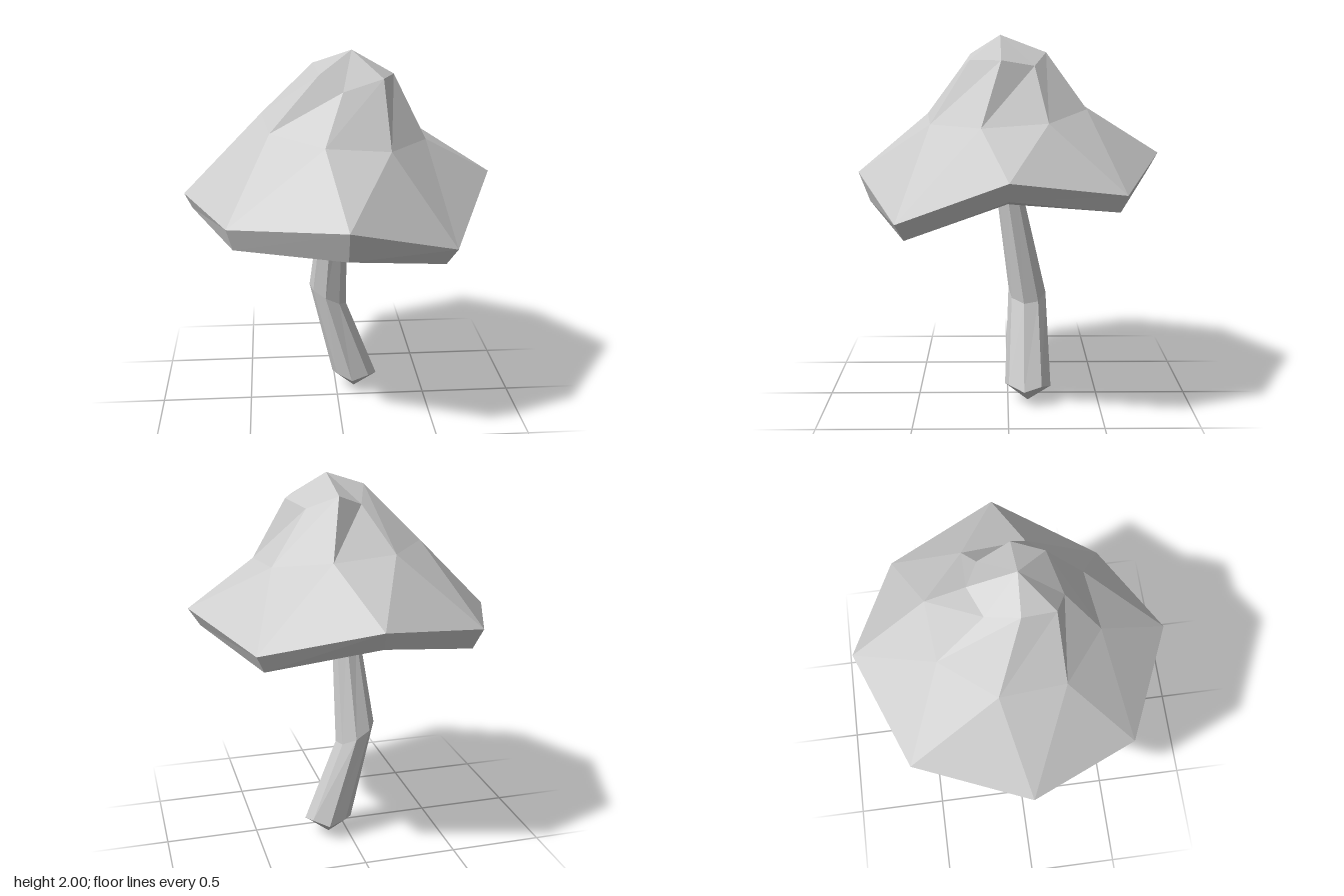
import * as THREE from 'three';

const SIDES = 8;
const material = new THREE.MeshStandardMaterial({ color: 0xcccccc, flatShading: true });

// Joins rings of points from bottom to top and closes both ends with a fan to a point.
function loft(name, bottom, rings, top) {
  const pos = [];
  const tri = (a, b, c) => pos.push(...a, ...b, ...c);
  const first = rings[0], last = rings[rings.length - 1];
  for (let i = 0; i < SIDES; i++) {
    const j = (i + 1) % SIDES;
    tri(first[j], first[i], bottom);
    for (let r = 0; r < rings.length - 1; r++) {
      const a = rings[r], b = rings[r + 1];
      tri(a[i], a[j], b[j]);
      tri(a[i], b[j], b[i]);
    }
    tri(last[i], last[j], top);
  }
  const geometry = new THREE.BufferGeometry();
  geometry.setAttribute('position', new THREE.Float32BufferAttribute(pos, 3));
  geometry.computeVertexNormals();
  const mesh = new THREE.Mesh(geometry, material);
  mesh.name = name;
  return mesh;
}

// Stem ring; tilt lowers the +x side, zigzag raises every second corner.
function stemRing(cx, cy, cz, radius, tilt = 0, zigzag = 0) {
  return Array.from({ length: SIDES }, (_, i) => {
    const t = THREE.MathUtils.degToRad(45 * i - 10);
    const dx = radius * Math.cos(t);
    return [cx + dx, cy - tilt * dx + (i % 2) * zigzag, cz - radius * Math.sin(t)];
  });
}

export function createModel() {
  const group = new THREE.Group();
  group.name = 'mushroom';

  // Cap cross-sections, each starting at +x and running round by the back
  const lowerRim = [
    [0.76, 1.24, 0], [0.53, 1.145, -0.55], [0, 1.28, -0.76], [-0.54, 1.17, -0.54],
    [-0.78, 1.16, 0], [-0.55, 1.105, 0.53], [0, 1.11, 0.75], [0.51, 1.0, 0.52],
  ];
  const upperRim = [
    [0.82, 1.335, 0], [0.57, 1.235, -0.58], [0.01, 1.375, -0.81], [-0.58, 1.28, -0.58],
    [-0.82, 1.245, 0.01], [-0.58, 1.22, 0.56], [0, 1.27, 0.81], [0.56, 1.09, 0.56],
  ];
  const slope = [
    [0.45, 1.55, 0.135], [0.415, 1.57, -0.2], [0.15, 1.62, -0.41], [-0.18, 1.64, -0.38],
    [-0.4, 1.65, -0.11], [-0.36, 1.61, 0.225], [-0.09, 1.58, 0.435], [0.24, 1.55, 0.4],
  ];
  const crown = [
    [0.29, 1.875, 0.035], [0.22, 1.845, -0.135], [0.065, 1.91, -0.2], [-0.07, 1.855, -0.135],
    [-0.13, 1.935, 0.03], [-0.105, 1.9, 0.2], [0.01, 1.82, 0.255], [0.22, 1.875, 0.195],
  ];
  group.add(loft('cap', [0, 1.09, 0], [lowerRim, upperRim, slope, crown], [0.07, 2, 0.04]));

  // Bent stem with a pointed foot
  group.add(loft('stem', [0.105, 0, -0.11], [
    stemRing(0.107, 0.09, -0.11, 0.128, 0, 0.025),
    stemRing(-0.047, 0.595, -0.108, 0.105, 0.53),
    stemRing(-0.02, 1.15, -0.01, 0.073),
  ], [-0.02, 1.17, -0.01]));

  return group;
}
